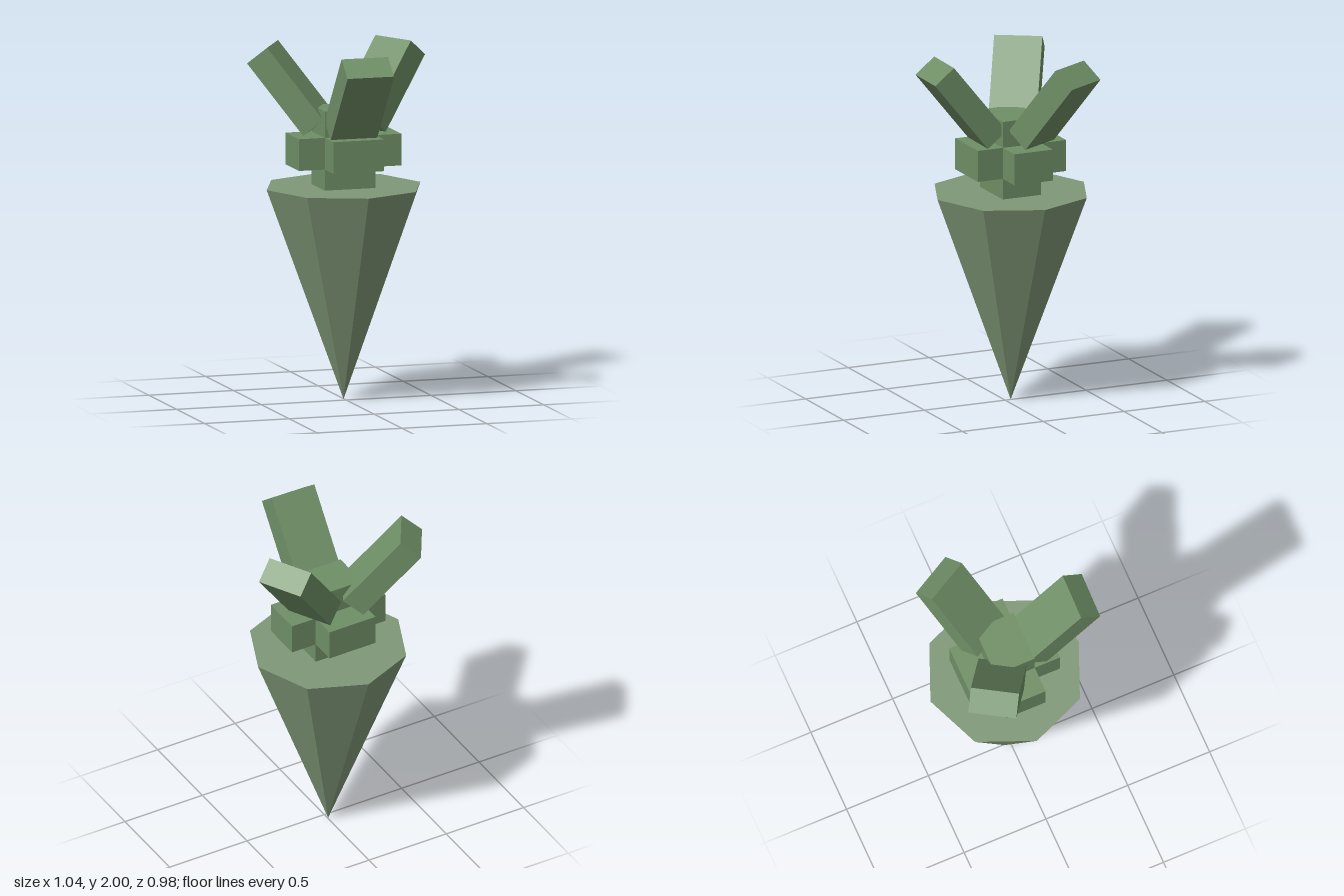
import * as THREE from 'three';

export function createModel() {
  const model = new THREE.Group();
  model.name = 'spikedPlant';
  // everything shares one slightly offset vertical axis
  const core = new THREE.Group();
  core.name = 'core';
  core.position.set(-0.004, 0, -0.036);
  model.add(core);

  const rootMat = new THREE.MeshStandardMaterial({ color: 0x7f9877, flatShading: true });
  const bodyMat = new THREE.MeshStandardMaterial({ color: 0x6f8f66, flatShading: true });

  const add = (name, geometry, material, y, parent = core) => {
    const mesh = new THREE.Mesh(geometry, material);
    mesh.name = name;
    mesh.position.y = y;
    parent.add(mesh);
    return mesh;
  };

  // eight-sided inverted cone standing on its tip
  add('spike', new THREE.ConeGeometry(0.453, 1.21, 8).rotateX(Math.PI), rootMat, 0.605);

  // square neck and the two crossed bars of the collar
  add('neck', new THREE.BoxGeometry(0.298, 0.45, 0.238), bodyMat, 1.435);
  add('collarSideBar', new THREE.BoxGeometry(0.603, 0.18, 0.238), bodyMat, 1.42);
  add('collarFrontBar', new THREE.BoxGeometry(0.298, 0.18, 0.546), bodyMat, 1.42);

  // three prongs leaning outwards, evenly spaced round the axis
  for (let i = 0; i < 3; i++) {
    const arm = new THREE.Group();
    arm.name = 'prong' + (i + 1);
    arm.rotation.y = THREE.MathUtils.degToRad(-1.2 + i * 120);
    core.add(arm);
    const bar = add('prongBar', new THREE.BoxGeometry(0.272, 0.514, 0.148), bodyMat, 1.755, arm);
    bar.position.z = 0.304;
    bar.rotation.x = THREE.MathUtils.degToRad(38.9);
  }
  return model;
}
